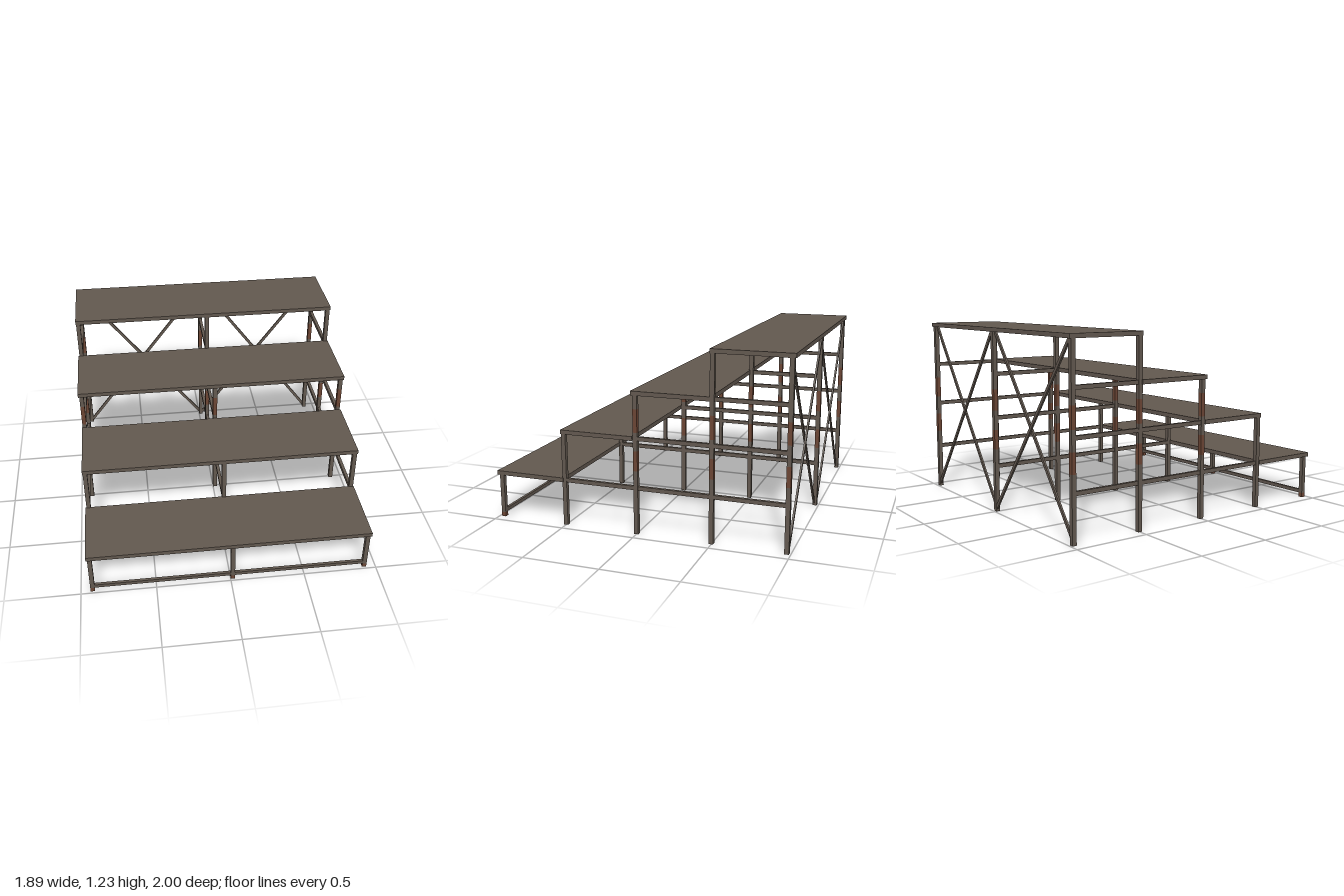
import * as THREE from 'three';

export function createModel() {
  const root = new THREE.Group();
  root.name = 'steppedStand';
  const steel = new THREE.MeshStandardMaterial({ color: 0x62584f });
  steel.name = 'weatheredSteel';
  const rust = new THREE.MeshStandardMaterial({ color: 0x6b4534 });
  rust.name = 'rust';

  // Box given by its minimum and maximum corners
  function box(name, min, max, material = steel) {
    const size = max.map((v, i) => v - min[i]);
    const mesh = new THREE.Mesh(new THREE.BoxGeometry(...size), material);
    mesh.position.set(...max.map((v, i) => (v + min[i]) / 2));
    mesh.name = name;
    root.add(mesh);
    return mesh;
  }

  const columns = [-0.922, 0.015, 0.922];
  const half = 0.0145;

  // Four stepped platforms: back z, front z, top y, left edge
  const platforms = [
    [0.51, 1.0, 0.322, -0.945],
    [0.02, 0.52, 0.645, -0.94],
    [-0.49, 0.028, 0.935, -0.945],
    [-1.0, -0.483, 1.225, -0.94],
  ];
  for (const [back, front, top, left] of platforms)
    box('platform', [left, top - 0.028, back], [0.942, top, front]);

  // Legs, split where bands of rust cover them: z, top y, rust bands
  const tallBands = [[0.42, 0.55], [0.67, 0.82]];
  const rows = [
    [0.97, 0.3, [[0, 0.03]]],
    [0.502, 0.625, []],
    [0.002, 0.915, tallBands],
    [-0.498, 1.205, tallBands],
    [-0.975, 1.205, [[0.42, 0.55], [0.68, 0.82]]],
  ];
  for (const x of columns) {
    for (const [z, top, bands] of rows) {
      let y = 0;
      const piece = (to, material) => {
        if (to - y > 0.001)
          box(material === rust ? 'rustyLegSection' : 'leg',
            [x - half, y, z - half], [x + half, to, z + half], material);
        y = to;
      };
      for (const [from, to] of bands) {
        piece(from, steel);
        piece(to, rust);
      }
      piece(top, steel);
    }

    // Rails running from each lower step to the rear legs
    for (const [y, front] of [[0.306, 0.97], [0.63, 0.502], [0.92, 0.002]])
      box('sideRail', [x - 0.011, y - 0.013, -0.97], [x + 0.011, y + 0.013, front]);
  }

  // Low bar between the front legs
  box('frontBar', [-0.922, 0.028, 0.96], [0.922, 0.052, 0.98]);

  // Crossed braces in the two rear bays
  for (let bay = 0; bay < 2; bay++) {
    const x0 = columns[bay] + 0.012, x1 = columns[bay + 1] - 0.012;
    for (const side of [1, -1]) {
      const dx = (x1 - x0) * side, dy = 1.175;
      const brace = new THREE.Mesh(
        new THREE.BoxGeometry(0.021, Math.hypot(dx, dy), 0.012), steel);
      brace.position.set((x0 + x1) / 2, 0.612, -0.975 + side * 0.006);
      brace.rotation.z = -Math.atan2(dx, dy);
      brace.name = 'crossBrace';
      root.add(brace);
    }
  }
  return root;
}
